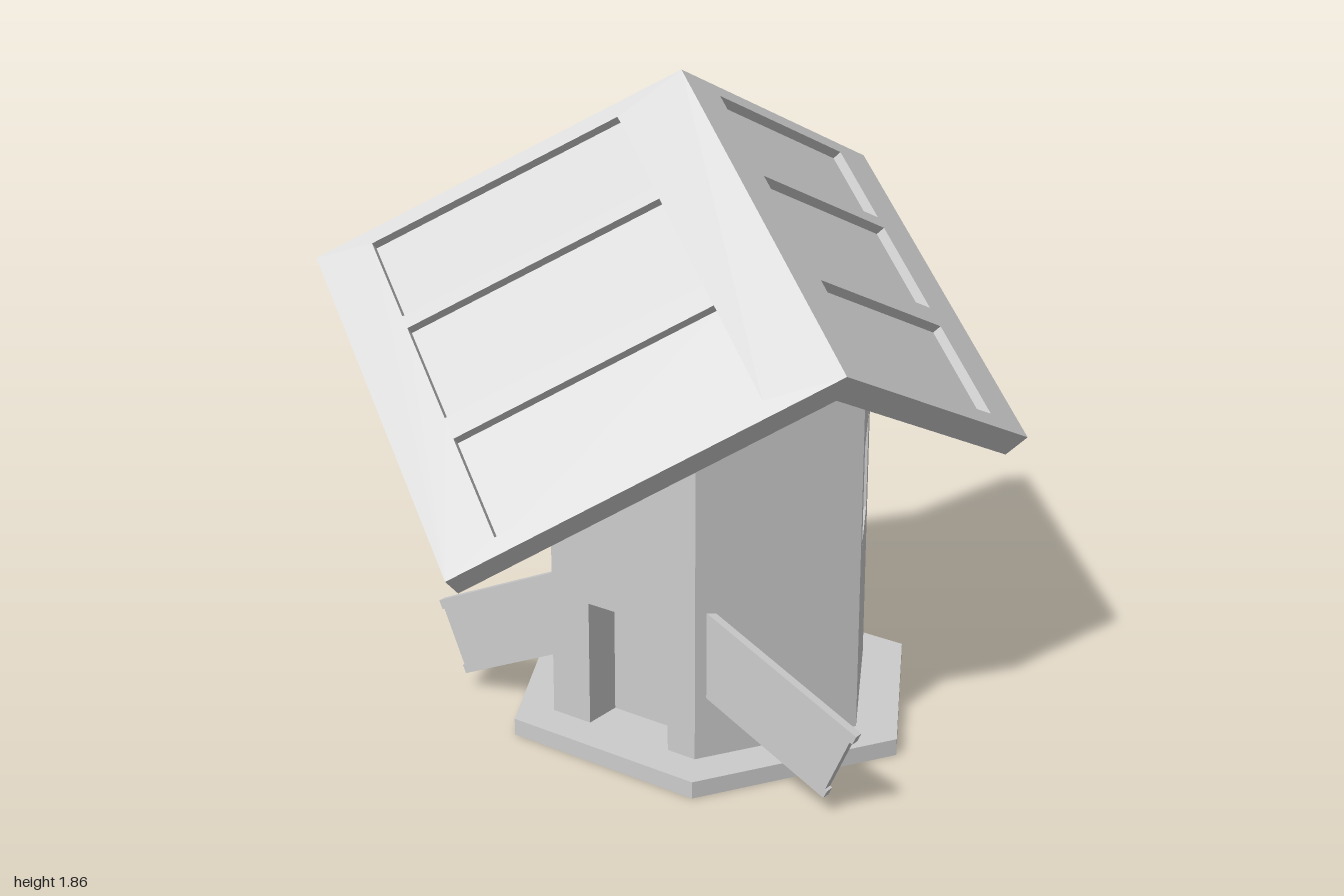
import * as THREE from 'three';

const material = new THREE.MeshStandardMaterial({ color: 0xcccccc, flatShading: true });

function addMesh(parent, name, geometry) {
  const mesh = new THREE.Mesh(geometry, material);
  mesh.name = name;
  parent.add(mesh);
  return mesh;
}

// Closed outline from [x, y] pairs
const outline = (pts) => new THREE.Shape(pts.map(([x, y]) => new THREE.Vector2(x, y)));
const rect = (x0, x1, y0, y1) => outline([[x0, y0], [x1, y0], [x1, y1], [x0, y1]]);

function extrude(shape, depth) {
  return new THREE.ExtrudeGeometry(shape, { depth, bevelEnabled: false });
}

// Hexagonal prism with corners on the x axis, between two heights
function hexPrism(radius, y0, y1) {
  return new THREE.CylinderGeometry(radius, radius, y1 - y0, 6)
    .rotateY(Math.PI / 6)
    .translate(0, (y0 + y1) / 2, 0);
}

function makeBody() {
  const body = new THREE.Group();
  body.name = 'body';
  body.position.set(0.1, 0, -0.05);
  const R = 0.508, apothem = R * Math.cos(Math.PI / 6), depth = 0.12, top = 1.155;

  // Six walls; the core closes the back of the door and window openings
  const openings = {
    0: [-0.12, 0.16, 0.045, 0.425],
    2: [-0.147, 0.147, 0.57, 0.865],
    5: [-0.147, 0.147, 0.57, 0.865],
  };
  for (let k = 0; k < 6; k++) {
    const shape = rect(-R / 2, R / 2, 0.02, top - 0.02);
    if (openings[k]) shape.holes.push(rect(...openings[k]));
    const wall = addMesh(body, 'wall', extrude(shape, depth).translate(0, 0, apothem - depth));
    wall.rotation.y = k * Math.PI / 3;
  }
  addMesh(body, 'core', hexPrism((apothem - depth + 0.002) / Math.cos(Math.PI / 6), 0.02, top - 0.01));
  addMesh(body, 'bodyTop', hexPrism(R, top - 0.02, top));
  return body;
}

// Roof: corner points on the ridge, slope directions and thickness vectors
const ridgeHigh = new THREE.Vector3(-0.098, 1.858, -0.157);
const ridge = new THREE.Vector3(0.845, -0.633, 0.425);
const paneSpans = [[0.04, 0.282], [0.32, 0.602], [0.665, 0.955]];

function makeRoofPanel(name, slope, thickness, v0, v1, flip) {
  const panel = new THREE.Group();
  panel.name = name;
  // The unit slab (ridge, slope, thickness) is sheared into place
  const along = ridge.clone().multiplyScalar(flip ? -1 : 1);
  const origin = ridgeHigh.clone();
  if (flip) origin.add(ridge);
  const place = new THREE.Matrix4().makeBasis(along, slope, thickness).setPosition(origin);

  const frame = rect(0, 1, 0, 1);
  for (const span of paneSpans) {
    const [u0, u1] = flip ? [1 - span[1], 1 - span[0]] : span;
    frame.holes.push(rect(u0, u1, v0, v1));
    const pane = extrude(rect(u0, u1, v0, v1), 0.3).translate(0, 0, 0.35);
    addMesh(panel, 'roofPane', pane.applyMatrix4(place));
  }
  addMesh(panel, 'roofFrame', extrude(frame, 1).applyMatrix4(place));
  return panel;
}

export function createModel() {
  const model = new THREE.Group();
  model.name = 'birdhouse';

  // Base plate
  addMesh(model, 'base', hexPrism(0.637, 0, 0.05)).position.set(0.108, 0, -0.05);

  model.add(makeBody());

  // Roof slabs
  model.add(makeRoofPanel('frontRoof', new THREE.Vector3(-0.752, -0.514, 0.73),
    new THREE.Vector3(-0.015, -0.06, -0.065), 0.19, 0.86, false));
  model.add(makeRoofPanel('backRoof', new THREE.Vector3(0.09, -0.394, -0.842),
    new THREE.Vector3(-0.058, -0.06, 0.02), 0.165, 0.825, true));

  // Posts holding up the roof
  for (const [x, z, top] of [[-0.1, -0.135, 1.74], [0.206, -0.162, 1.48]]) {
    const height = top - 1.14;
    addMesh(model, 'roofPost', new THREE.BoxGeometry(0.045, height, 0.045))
      .position.set(x, 1.14 + height / 2, z);
  }

  // Sloping side boards with small end tabs, mirrored about x = 0.12
  const board = [[0.33, 0.51], [0.862, 0.264], [0.85, 0.238], [0.842, 0.242],
    [0.768, 0.078], [0.775, 0.074], [0.763, 0.05], [0.33, 0.252]];
  for (const side of [1, -1]) {
    const pts = board.map(([x, y]) => [0.12 + side * (x - 0.12), y]);
    addMesh(model, side > 0 ? 'leftBoard' : 'rightBoard',
      extrude(outline(pts), 0.026).translate(0, 0, 0.334));
  }
  return model;
}
